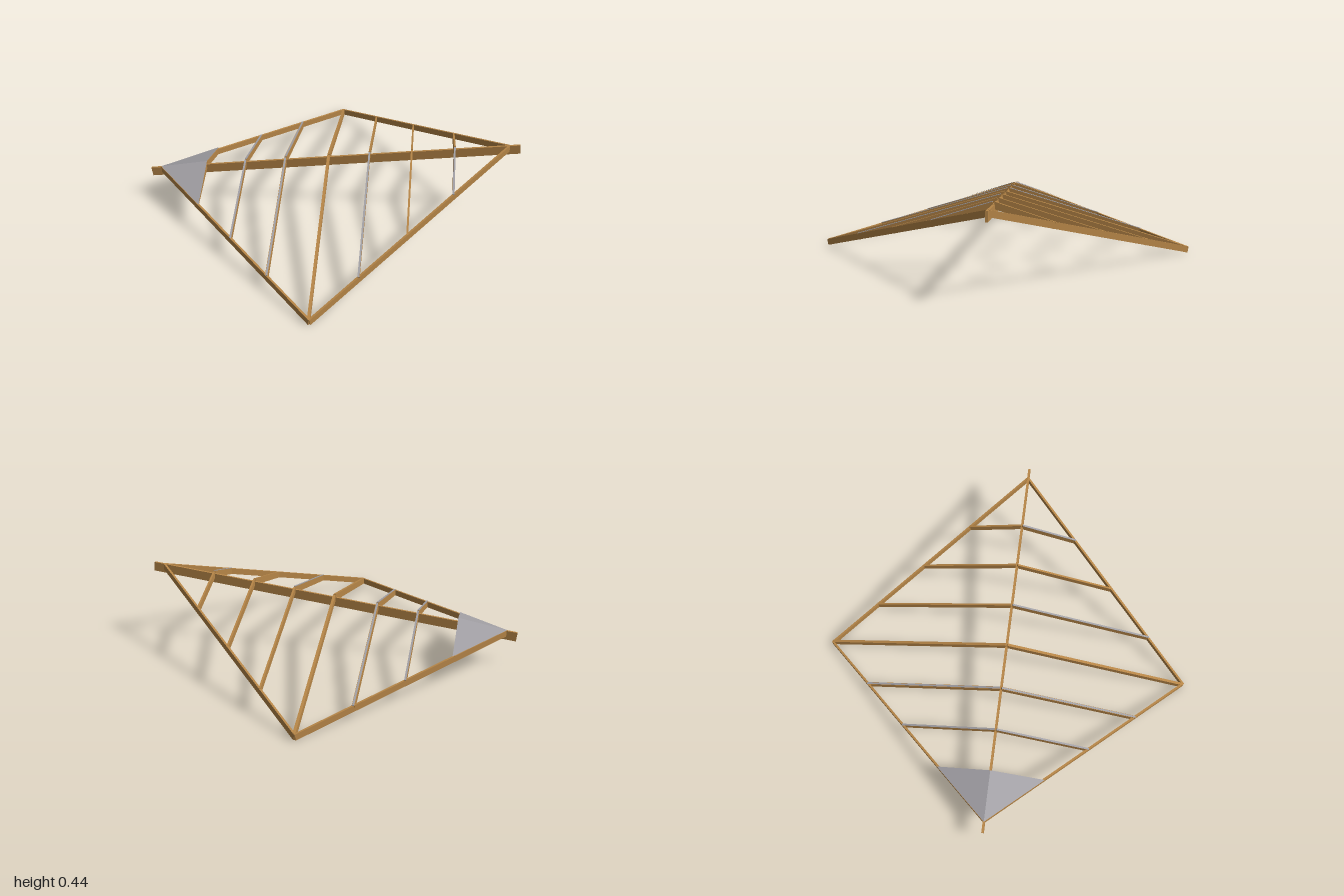
import * as THREE from 'three';

const wood = new THREE.MeshStandardMaterial({ color: 0xb88748 });
wood.name = 'wood';
const grey = new THREE.MeshStandardMaterial({ color: 0xa3a1a6, side: THREE.DoubleSide });
grey.name = 'grey sheet';

const V = (x, y, z) => new THREE.Vector3(x, y, z);

// Straight board from a to b, standing on edge; lift moves it along its own upright axis
function beam(name, a, b, height, width, material = wood, lift = 0) {
  const dir = b.clone().sub(a);
  const geo = new THREE.BoxGeometry(dir.length(), height, width);
  geo.translate(0, lift, 0);
  dir.normalize();
  const side = dir.clone().cross(V(0, 1, 0)).normalize();
  const up = side.clone().cross(dir);
  geo.applyMatrix4(new THREE.Matrix4().makeBasis(dir, up, side));
  const mesh = new THREE.Mesh(geo, material);
  mesh.name = name;
  mesh.position.copy(a).add(b).multiplyScalar(0.5);
  return mesh;
}

const LOW = V(-0.94, 0.175, 0), HIGH = V(0.94, 0.42, 0);
const corner = s => V(-0.015, 0.018, 0.99 * s);
const ridgeY = x => 0.288 + 0.13 * x;

// Point on the sloping outer edge at a given x
function edgePoint(x, s) {
  const c = corner(s), end = x < c.x ? LOW : HIGH;
  return c.clone().lerp(end, (x - c.x) / (end.x - c.x));
}

export function createModel() {
  const model = new THREE.Group();
  model.name = 'roofFrame';

  // Long tilted ridge board
  model.add(beam('ridgeBeam', V(-0.997, ridgeY(-0.997), 0), V(0.997, ridgeY(0.997), 0), 0.05, 0.012));

  for (const s of [1, -1]) {
    const side = s > 0 ? 'front' : 'back';
    // Outer edge boards
    model.add(beam(side + 'LowEdge', LOW, corner(s), 0.033, 0.011));
    model.add(beam(side + 'HighEdge', corner(s), HIGH, 0.033, 0.011));

    // Rafters from ridge to edge, some with a grey strip on top
    [-0.69, -0.47, -0.25, -0.015, 0.205, 0.43, 0.655].forEach((x, i) => {
      const top = V(x, ridgeY(x) + 0.022, 0);
      const foot = edgePoint(x - 0.004 * s, s);
      model.add(beam(side + 'Rafter' + i, top, foot, 0.035, i === 2 || i === 3 ? 0.014 : 0.01));
      const strip = i === 1 || i === 2 || (s > 0 && (i === 4 || i === 6));
      if (strip) model.add(beam(side + 'RafterStrip' + i, top, foot, 0.002, 0.01, grey, 0.0185));
    });

    // Triangular sheet covering the low end
    const tip = V(-0.945, 0.193, 0), crown = V(-0.685, 0.243, 0), out = V(-0.68, 0.152, 0.287 * s);
    const geo = new THREE.BufferGeometry().setFromPoints(s > 0 ? [tip, out, crown] : [tip, crown, out]);
    geo.computeVertexNormals();
    const sheet = new THREE.Mesh(geo, grey);
    sheet.name = side + 'Sheet';
    model.add(sheet);
  }
  return model;
}
